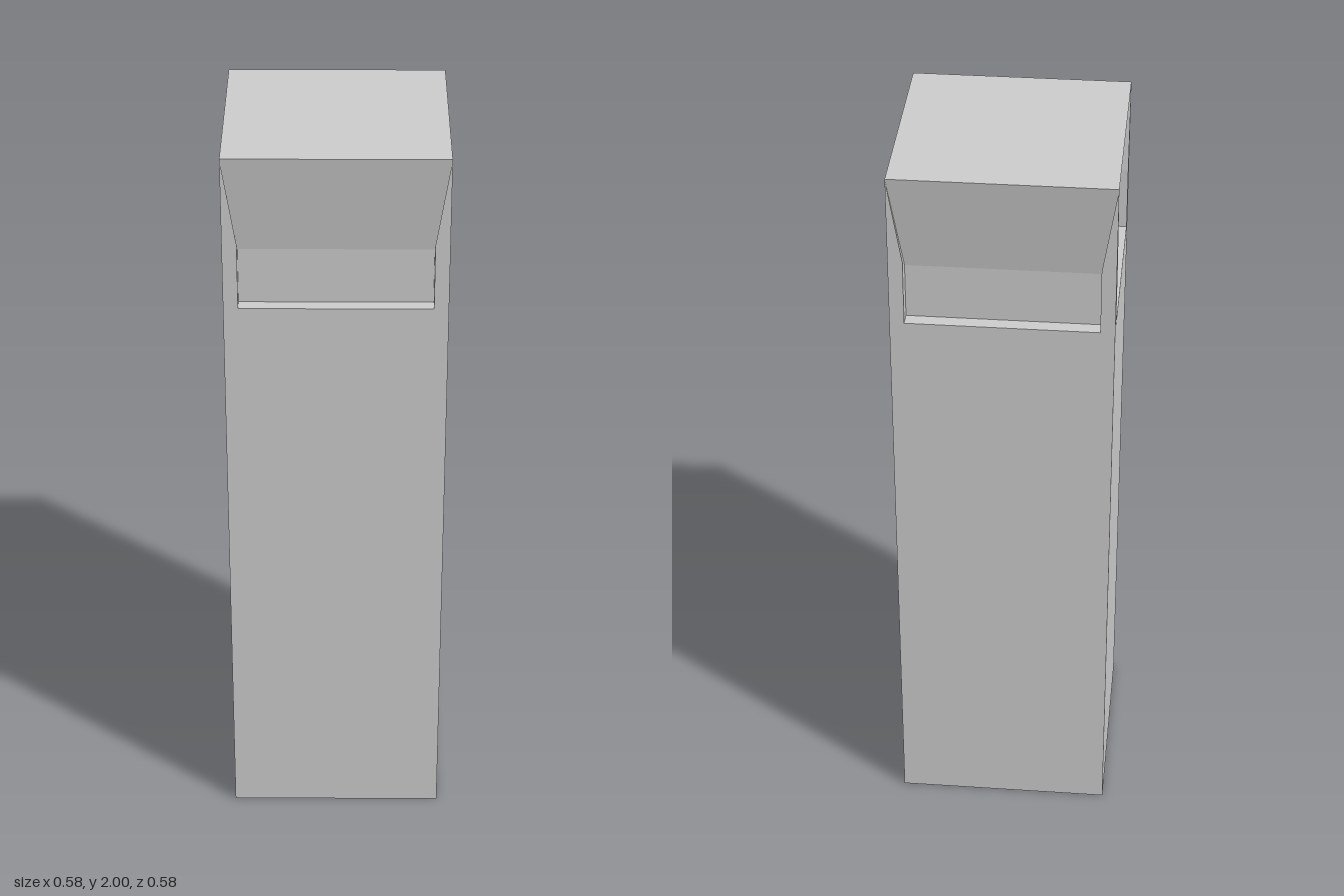
import * as THREE from 'three';

const H = 0.288;    // half width of the pillar
const C = 0.25;     // half width of the recessed core and of each opening
const TOP = 2;
const LEDGE = 1.585;
const WALL = 1.735; // where the recessed wall starts to lean outwards
const BEND = 1.765; // where the opening starts to widen

const material = new THREE.MeshStandardMaterial({ color: 0xcccccc, flatShading: true });

// Mesh from convex polygons, corners counter-clockwise seen from outside
function panels(name, polygons) {
  const pos = [];
  for (const p of polygons)
    for (let i = 1; i < p.length - 1; i++) pos.push(...p[0], ...p[i], ...p[i + 1]);
  const geometry = new THREE.BufferGeometry();
  geometry.setAttribute('position', new THREE.Float32BufferAttribute(pos, 3));
  geometry.computeVertexNormals();
  const mesh = new THREE.Mesh(geometry, material);
  mesh.name = name;
  return mesh;
}

// A polygon together with its mirror image across x = 0
const mirrored = (p) => [p, p.map(([x, y, z]) => [-x, y, z]).reverse()];

function createSide(name) {
  const side = new THREE.Group();
  side.name = name;
  side.add(
    panels('shaftFace', [[[-H, 0, H], [H, 0, H], [H, LEDGE, H], [-H, LEDGE, H]]]),
    // Upright strips that taper away to the top corners
    panels('cornerStrips', mirrored([[C, LEDGE, H], [H, LEDGE, H], [H, TOP, H], [C, BEND, H]])),
    panels('ledge', [[[-C, LEDGE, H], [C, LEDGE, H], [C, LEDGE, C], [-C, LEDGE, C]]]),
    panels('recessWall', [[[-C, LEDGE, C], [C, LEDGE, C], [C, WALL, C], [-C, WALL, C]]]),
    panels('capSlope', [[[-C, WALL, C], [C, WALL, C], [H, TOP, H], [-H, TOP, H]]]),
    panels('jambs', [
      ...mirrored([[C, LEDGE, C], [C, LEDGE, H], [C, BEND, H], [C, WALL, C]]),
      ...mirrored([[C, WALL, C], [C, BEND, H], [H, TOP, H]]),
    ]),
  );
  return side;
}

export function createModel() {
  const pillar = new THREE.Group();
  pillar.name = 'pillar';

  // Four identical sides
  ['frontSide', 'leftSide', 'backSide', 'rightSide'].forEach((name, i) => {
    const side = createSide(name);
    side.rotation.y = (i * Math.PI) / 2;
    pillar.add(side);
  });

  // Flat ends
  pillar.add(
    panels('capTop', [[[-H, TOP, H], [H, TOP, H], [H, TOP, -H], [-H, TOP, -H]]]),
    panels('baseBottom', [[[-H, 0, -H], [H, 0, -H], [H, 0, H], [-H, 0, H]]]),
  );
  return pillar;
}
